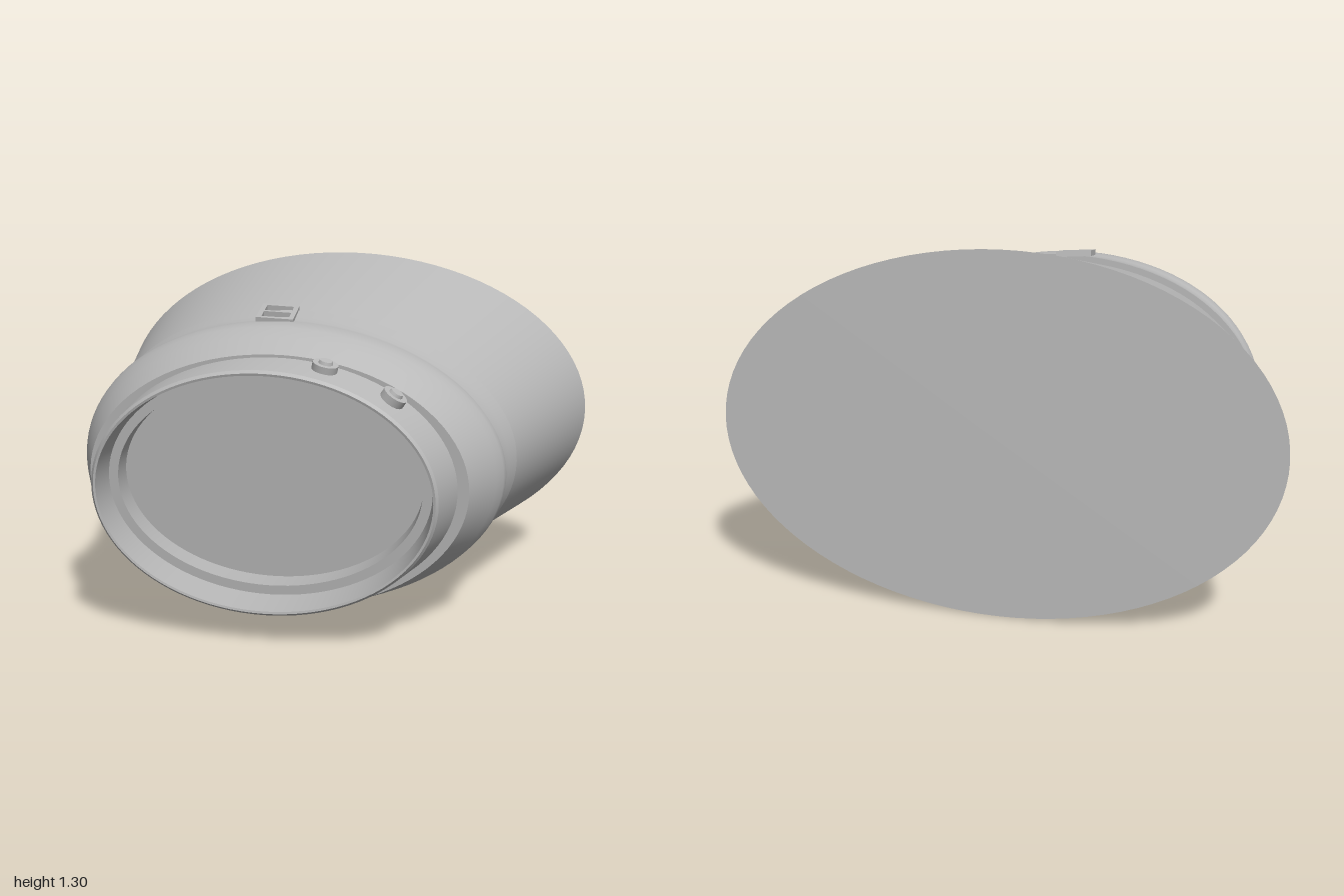
import * as THREE from 'three';

const SIDES = 96;
const grey = new THREE.MeshStandardMaterial({ color: 0xb8b8b8 });
grey.name = 'plain grey';

// Every ring lies in a plane with the same slight tilt; w is its depth on the axis.
const tilt = (x, y, w) => w + 0.09 * x + 0.08 * (y - 0.6);

// ring: [w, xMin, xMax, yMin, yMax, skew]; skew slides the top and bottom sideways
function ringPoint([w, x0, x1, y0, y1, skew = 0], t) {
  const s = Math.sin(t);
  const x = (x0 + x1) / 2 + (x1 - x0) / 2 * Math.cos(t) + skew * s * s;
  const y = (y0 + y1) / 2 + (y1 - y0) / 2 * s;
  return new THREE.Vector3(x, y, tilt(x, y, w));
}

// Smooth skin through a run of rings
function loft(rings) {
  const pos = [], index = [];
  rings.forEach((ring, i) => {
    for (let j = 0; j < SIDES; j++) {
      pos.push(...ringPoint(ring, j / SIDES * Math.PI * 2).toArray());
      if (i === rings.length - 1) continue;
      const k = (j + 1) % SIDES;
      const a = i * SIDES + j, b = i * SIDES + k, c = a + SIDES, d = b + SIDES;
      index.push(a, c, b, b, c, d);
    }
  });
  const g = new THREE.BufferGeometry();
  g.setAttribute('position', new THREE.Float32BufferAttribute(pos, 3));
  g.setIndex(index);
  g.computeVertexNormals();
  return g;
}

export function createModel() {
  const model = new THREE.Group();
  model.name = 'cuffedSleeve';
  const add = (name, geometry, parent = model) => {
    const m = new THREE.Mesh(geometry, grey);
    m.name = name;
    parent.add(m);
    return m;
  };

  // Rings where the surface has a sharp edge, from the inner disc to the back
  const disc = [0.42, -0.74, 0.37, 0.175, 0.94];
  const ledgeIn = [0.53, -0.74, 0.37, 0.175, 0.94];
  const ledgeOut = [0.53, -0.775, 0.405, 0.14, 0.975];
  const rimIn = [0.683, -0.782, 0.412, 0.128, 0.982];
  const rimOut = [0.685, -0.79, 0.42, 0.12, 0.99];
  const cuffFront = [0.672, -0.8, 0.43, 0.11, 1.0];
  const cuffBack = [0.515, -0.805, 0.49, 0.105, 1.02];
  const collar = [0.515, -0.85, 0.53, 0.09, 1.03];
  const bandEdge = [0.13, -0.91, 0.70, 0.05, 1.14, -0.04];
  const sleeveFront = [0.13, -0.89, 0.68, 0.072, 1.118, -0.03];
  const sleeveBack = [-0.635, -1, 1, 0, 1.3, -0.02];

  add('innerDisc', loft([[0.42, -0.185, -0.185, 0.557, 0.557], disc]));
  add('innerWall', loft([disc, ledgeIn]));
  add('innerLedge', loft([ledgeIn, ledgeOut]));
  add('openingWall', loft([ledgeOut, rimIn]));
  add('rim', loft([rimIn, rimOut]));
  add('rimBevel', loft([rimOut, cuffFront]));
  add('cuff', loft([cuffFront, cuffBack]));
  add('collarStep', loft([cuffBack, collar]));

  // Rounded swelling that flows into the strap
  add('bulgeAndStrap', loft([
    collar,
    [0.43, -0.885, 0.585, 0.065, 1.08, -0.02],
    [0.37, -0.907, 0.625, 0.045, 1.108, -0.03],
    [0.33, -0.92, 0.65, 0.034, 1.115, -0.04],
    [0.295, -0.925, 0.66, 0.03, 1.118, -0.04],
    [0.27, -0.91, 0.652, 0.038, 1.117, -0.04],
    [0.245, -0.892, 0.648, 0.05, 1.117, -0.04],
    [0.2, -0.897, 0.67, 0.052, 1.125, -0.04],
    bandEdge,
  ]));
  add('strapLip', loft([bandEdge, sleeveFront]));
  add('sleeve', loft([sleeveFront, sleeveBack]));
  add('backCap', loft([sleeveBack, [-0.635, 0, 0, 0.65, 0.65]]));

  // Two stepped buttons standing on the cuff
  const seat = [0.567, -0.803, 0.47, 0.107, 1.012];
  for (const t of [1.255, 0.83]) {
    const button = new THREE.Group();
    button.name = 'button';
    const p = ringPoint(seat, t);
    const along = ringPoint(seat, t + 0.01).sub(ringPoint(seat, t - 0.01));
    const normal = new THREE.Vector3(along.y, -along.x, 0.002).normalize();
    button.position.copy(p);
    button.quaternion.setFromUnitVectors(new THREE.Vector3(0, 1, 0), normal);
    add('buttonBase', new THREE.CylinderGeometry(0.045, 0.045, 0.04, 32), button).position.y = 0.005;
    add('buttonTop', new THREE.CylinderGeometry(0.022, 0.026, 0.012, 32), button).position.y = 0.03;
    model.add(button);
  }

  // Open buckle frame with a cross bar
  const rect = (Type, x, y, w, h) => new Type([[0, 0], [w, 0], [w, h], [0, h]]
    .map(([u, v]) => new THREE.Vector2(x + u, y + v)));
  const frame = rect(THREE.Shape, -0.068, -0.088, 0.136, 0.176);
  frame.holes.push(rect(THREE.Path, -0.05, -0.07, 0.1, 0.062), rect(THREE.Path, -0.05, 0.006, 0.1, 0.064));
  const buckle = add('buckle', new THREE.ExtrudeGeometry(frame, { depth: 0.022, bevelEnabled: false }));
  buckle.position.set(-0.185, 1.122, 0.225);
  buckle.rotation.set(-Math.PI / 2 + 0.17, 0.06, 0);

  return model;
}
